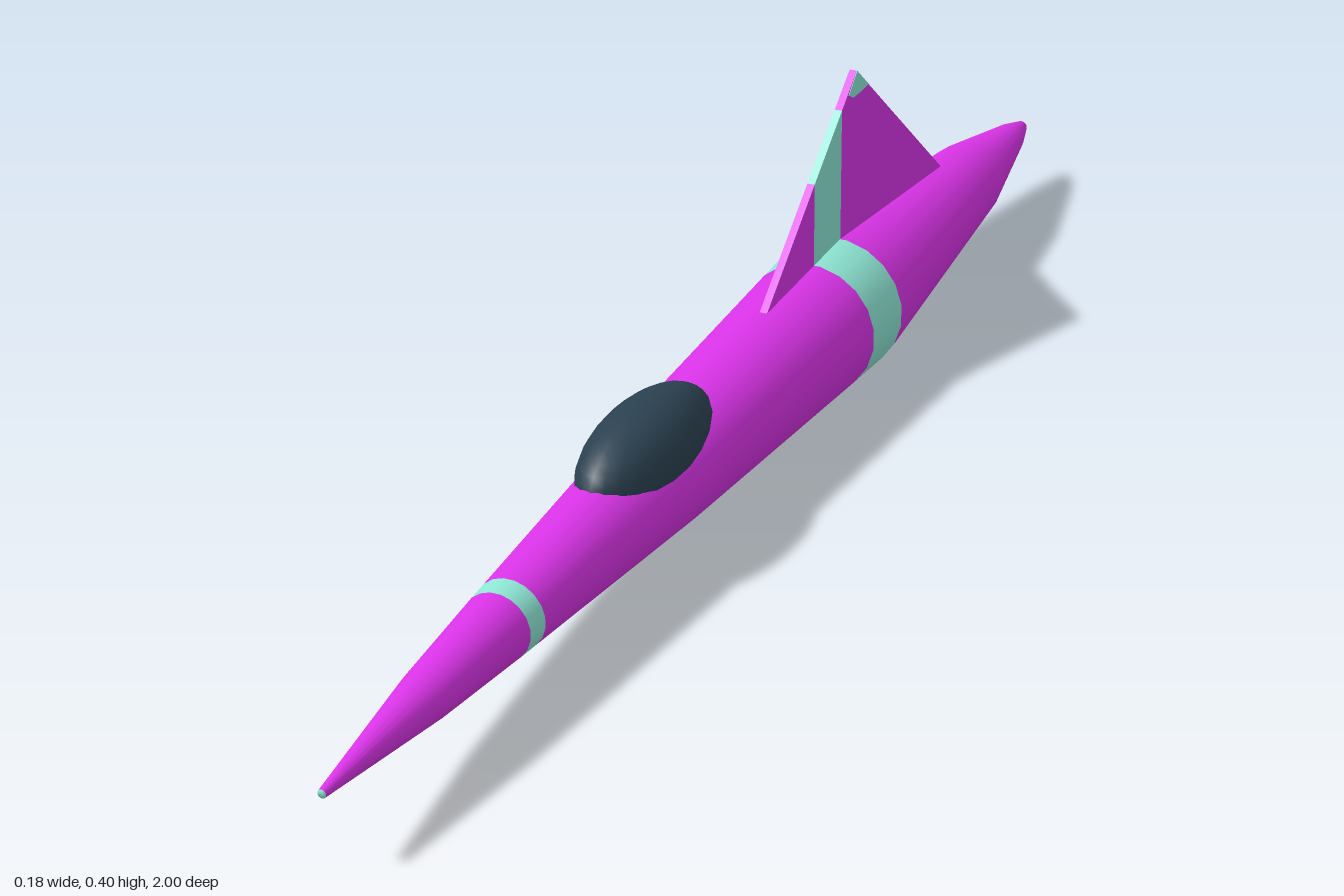
import * as THREE from 'three';

const AXIS_Y = 0.093;

export function createModel() {
  const magenta = new THREE.MeshStandardMaterial({ name: 'magentaPaint', color: 0xdc34ea });
  const teal = new THREE.MeshStandardMaterial({ name: 'tealPaint', color: 0x8ee6d4 });
  const glass = new THREE.MeshStandardMaterial({ name: 'darkGlass', color: 0x2b4150 });

  const model = new THREE.Group();
  model.name = 'aircraft';
  const add = (name, geometry, material, parent = model) => {
    const mesh = new THREE.Mesh(geometry, material);
    mesh.name = name;
    parent.add(mesh);
    return mesh;
  };

  // Fuselage: [z, radius] from tail to nose, teal rings picked out as a material group
  const profile = [
    [-1, 0], [-1, 0.009], [-0.95, 0.022], [-0.76, 0.055], [-0.284, 0.0932], [-0.198, 0.0895],
    [0.25, 0.068], [0.615, 0.043], [0.645, 0.041], [0.8, 0.029], [1, 0.005], [1, 0],
  ];
  const tealRows = [4, 7, 10];
  const sides = 20;
  const body = new THREE.LatheGeometry(
    profile.map(([z, r]) => new THREE.Vector2(r, z)), sides, Math.PI / sides);
  const rows = profile.length - 1;
  const source = Array.from(body.index.array);
  const main = [], rings = [];
  for (let q = 0; q < source.length / 6; q++) {
    const target = tealRows.includes(q % rows) ? rings : main;
    target.push(...source.slice(q * 6, q * 6 + 6));
  }
  body.setIndex(main.concat(rings));
  body.addGroup(0, main.length, 0);
  body.addGroup(main.length, rings.length, 1);
  body.rotateX(Math.PI / 2);
  add('fuselage', body, [magenta, teal]).position.y = AXIS_Y;

  // Cockpit canopy: an ellipsoid sunk into the fuselage
  const dome = new THREE.SphereGeometry(1, 24, 16);
  dome.scale(0.057, 0.06, 0.142);
  add('canopy', dome, glass).position.set(0, 0.14, 0.283);

  // Tail fin: outlines are [distance behind centre, height], cut into coloured slices
  const fin = new THREE.Group();
  fin.name = 'tailFin';
  model.add(fin);
  const slab = (points, thickness) => {
    const shape = new THREE.Shape(points.map(([s, y]) => new THREE.Vector2(s, y)));
    const geometry = new THREE.ExtrudeGeometry(shape, { depth: thickness, bevelEnabled: false });
    geometry.translate(0, 0, -thickness / 2);
    return geometry.rotateY(Math.PI / 2);
  };
  const leading = (s) => 0.176 + 0.8 * (s - 0.053);
  const base = 0.13, front = 0.198, back = 0.285;
  add('finFront', slab([[-0.0045, base], [front, base], [front, leading(front)]], 0.01), magenta, fin);
  add('finBand', slab([[front, base], [back, base], [back, leading(back)], [front, leading(front)]], 0.01), teal, fin);
  add('finRear', slab([[back, base], [0.682, base], [0.333, 0.4], [back, leading(back)]], 0.01), magenta, fin);
  add('finTipPatch', slab([[0.306, 0.375], [0.322, 0.367], [0.352, 0.367], [0.373, 0.369], [0.333, 0.4]], 0.0112), teal, fin);

  return model;
}
